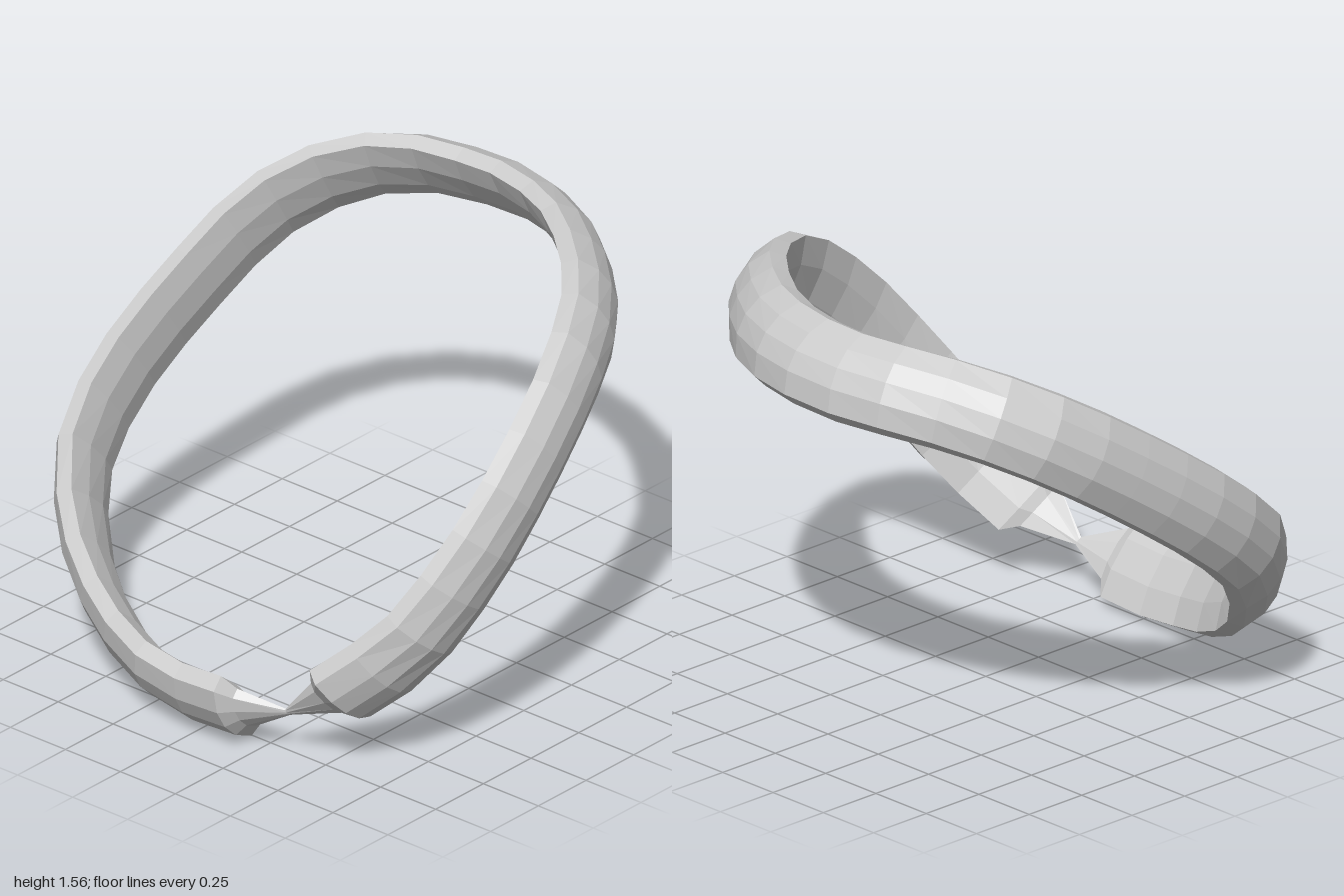
import * as THREE from 'three';

// Centre line of the band, from the front end round to the back end
const PATH = [
  [-0.74, 0.30, 0.56], [-0.62, 0.50, 0.76], [-0.42, 0.80, 0.89], [-0.2, 1.05, 0.92],
  [0.1, 1.27, 0.86], [0.4, 1.37, 0.70], [0.62, 1.41, 0.48], [0.77, 1.425, 0.25],
  [0.84, 1.43, 0], [0.845, 1.425, -0.15], [0.8, 1.42, -0.4], [0.68, 1.38, -0.62],
  [0.46, 1.26, -0.8], [0.15, 1.06, -0.88], [-0.2, 0.81, -0.92], [-0.44, 0.61, -0.87],
  [-0.62, 0.38, -0.69], [-0.74, 0.235, -0.45], [-0.82, 0.165, -0.2], [-0.835, 0.145, 0],
  [-0.835, 0.155, 0.17],
].map((p) => new THREE.Vector3(...p));

// Cross-section as [across the width, outward]: domed outside, flatter inside
const SECTION = [
  [0.15, 0.03], [0.075, 0.073], [0, 0.085], [-0.075, 0.073], [-0.15, 0.03],
  [-0.16, -0.03], [-0.06, -0.053], [0.06, -0.053], [0.16, -0.03],
];
const TIP = new THREE.Vector3(-0.785, 0.18, 0.36);
const AXIS = new THREE.Vector3(-0.61, 0.79, 0); // the band's width leans this way

// Width and outward directions square to the path
function frame(tangent) {
  const t = tangent.clone().normalize();
  const w = AXIS.clone().addScaledVector(t, -AXIS.dot(t)).normalize();
  return { w, n: new THREE.Vector3().crossVectors(t, w) };
}

function ring(center, { w, n }, scale = 1) {
  return SECTION.map(([a, b]) =>
    center.clone().addScaledVector(w, a * scale).addScaledVector(n, b * scale));
}

// Skin a row of rings
function loft(name, rings, material) {
  const k = SECTION.length;
  const index = [];
  for (let i = 0; i < rings.length - 1; i++) {
    for (let j = 0; j < k; j++) {
      const a = i * k + j, b = i * k + (j + 1) % k;
      index.push(a, b, b + k, a, b + k, a + k);
    }
  }
  const geometry = new THREE.BufferGeometry().setFromPoints(rings.flat());
  geometry.setIndex(index);
  geometry.computeVertexNormals();
  const mesh = new THREE.Mesh(geometry, material);
  mesh.name = name;
  return mesh;
}

export function createModel() {
  const group = new THREE.Group();
  group.name = 'bracelet';
  const material = new THREE.MeshStandardMaterial({
    color: 0xcccccc, flatShading: true, side: THREE.DoubleSide,
  });

  // Band
  const curve = new THREE.CatmullRomCurve3(PATH);
  const steps = 32;
  const rings = [];
  for (let i = 0; i <= steps; i++) {
    rings.push(ring(curve.getPointAt(i / steps), frame(curve.getTangentAt(i / steps))));
  }
  group.add(loft('band', rings, material));

  // Ends: a bevelled cap, then a spike to the shared clasp point
  const tipFrame = frame(new THREE.Vector3(0, 0.3, 1));
  const tipRing = ring(TIP, tipFrame, 0.1);
  const capRing = (u) => ring(
    curve.getPointAt(u).lerp(TIP, 0.2), frame(curve.getTangentAt(u)), 0.62);
  group.add(loft('frontClasp', [tipRing, capRing(0), rings[0]], material));
  group.add(loft('backClasp', [rings[steps], capRing(1), tipRing], material));
  return group;
}
